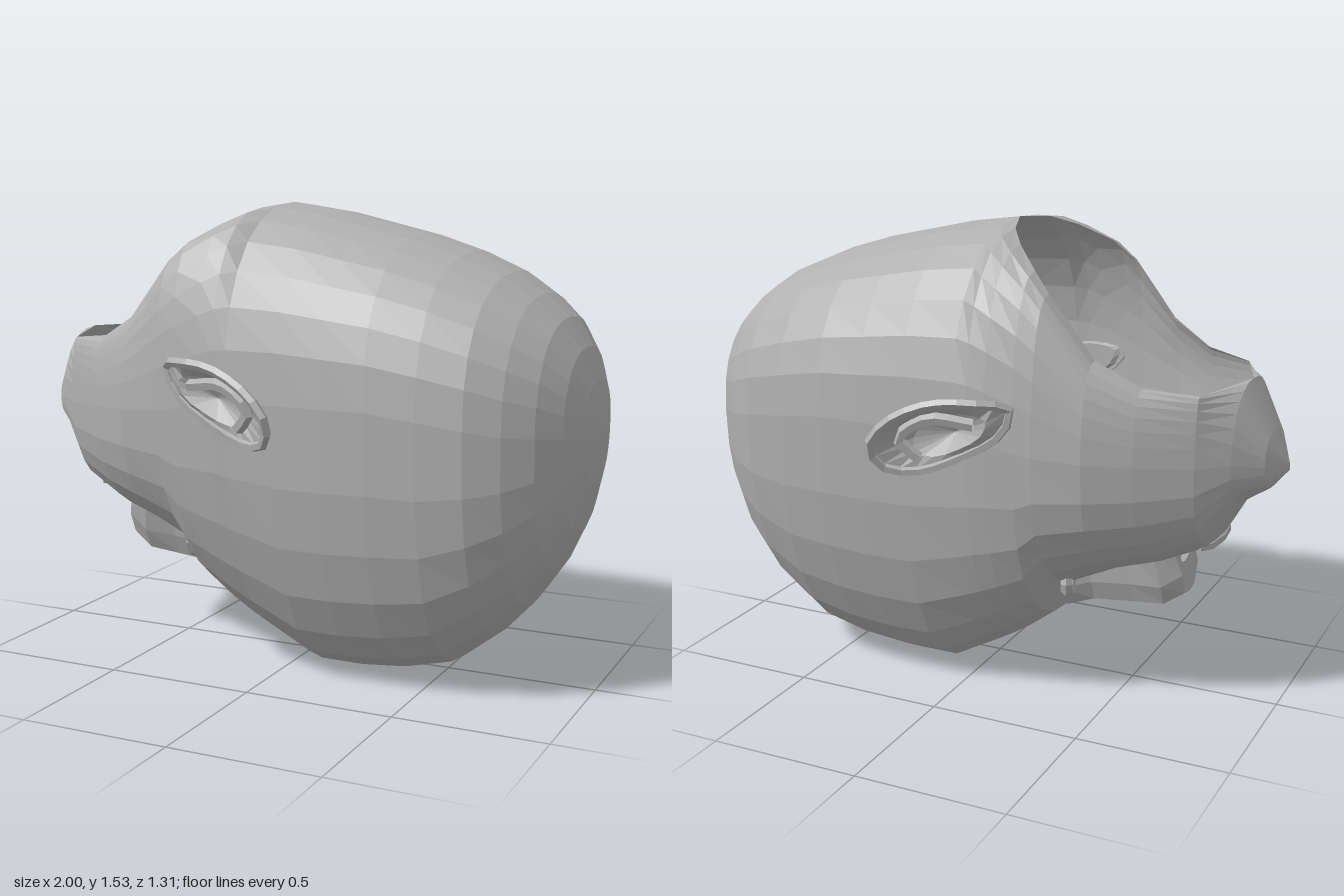
import * as THREE from 'three';

const skin = new THREE.MeshStandardMaterial({ color: 0xb0b0b0, flatShading: true, side: THREE.DoubleSide });
skin.name = 'grey skin';

// Skins a list of equally long point rows
function loft(rows) {
  const n = rows[0].length, index = [];
  for (let i = 0; i < rows.length - 1; i++) {
    for (let j = 0; j < n - 1; j++) {
      const a = i * n + j, b = a + n;
      index.push(a, a + 1, b, a + 1, b + 1, b);
    }
  }
  const g = new THREE.BufferGeometry();
  g.setAttribute('position', new THREE.Float32BufferAttribute(rows.flat(2), 3));
  g.setIndex(index);
  g.computeVertexNormals();
  return g;
}

function add(parent, name, geometry) {
  const m = new THREE.Mesh(geometry, skin);
  m.name = name;
  parent.add(m);
  return m;
}

// Sections along x: x, bottom y, widest y, top y, half width, half width of the neck opening
const sections = [
  [-1.0, 0.81, 0.82, 0.83, 0, 0],
  [-0.95, 0.75, 0.84, 0.94, 0.11, 0],
  [-0.87, 0.70, 0.86, 1.09, 0.20, 0],
  [-0.78, 0.54, 0.86, 1.08, 0.28, 0.25],
  [-0.62, 0.47, 0.87, 1.10, 0.38, 0.31],
  [-0.48, 0.43, 0.88, 1.18, 0.45, 0.345],
  [-0.33, 0.36, 0.89, 1.37, 0.48, 0.35],
  [-0.27, 0.24, 0.90, 1.43, 0.485, 0.32],
  [-0.18, 0.17, 0.92, 1.49, 0.495, 0.23],
  [-0.12, 0.13, 0.93, 1.525, 0.50, 0.14],
  [-0.07, 0.10, 0.93, 1.54, 0.50, 0],
  [0.10, 0.005, 0.94, 1.515, 0.505, 0],
  [0.25, 0.005, 0.94, 1.48, 0.51, 0],
  [0.40, 0.02, 0.94, 1.445, 0.51, 0],
  [0.56, 0.06, 0.92, 1.395, 0.495, 0],
  [0.70, 0.17, 0.90, 1.335, 0.47, 0],
  [0.80, 0.28, 0.88, 1.27, 0.415, 0],
  [0.88, 0.40, 0.87, 1.20, 0.34, 0],
  [0.94, 0.53, 0.86, 1.11, 0.25, 0],
  [0.98, 0.68, 0.86, 1.01, 0.15, 0],
  [1.0, 0.84, 0.85, 0.86, 0, 0],
];

// Ring from one side of the opening, round the bottom, to the other side
function ring([x, bottom, mid, top, half, open]) {
  const side = [], steps = 7, p = 0.85;
  for (let i = 0; i <= steps; i++) {
    const t = (i / steps) * Math.PI / 2;
    side.push([x, mid - (mid - bottom) * Math.max(0, Math.cos(t)) ** p, half * Math.sin(t) ** p]);
  }
  for (let i = 1; i <= steps; i++) {
    const t = (i / steps) * Math.PI / 2;
    const c = Math.max(0, Math.cos(t)) ** p;
    side.push([x, mid + (top - mid) * Math.sin(t) ** p, open + (half - open) * c]);
  }
  const other = side.slice(1).reverse().map(([a, b, c]) => [a, b, -c]);
  return [...other, ...side];
}

// One ear: outer back, rolled rim, hollow bowl and inner fold
function makeEar() {
  const ear = new THREE.Group();
  const rim = [
    [-0.27, 1.04, 0.50], [-0.19, 1.065, 0.575], [-0.05, 1.055, 0.61], [0.08, 0.99, 0.635],
    [0.14, 0.91, 0.635], [0.12, 0.84, 0.60], [0.03, 0.82, 0.55], [-0.12, 0.88, 0.525], [-0.24, 0.96, 0.50],
  ];
  const curve = new THREE.CatmullRomCurve3(rim.map(p => new THREE.Vector3(...p)), true);
  const edge = curve.getPoints(18).map(p => p.toArray());
  const shrink = (k, z) => edge.map(([x, y]) => [-0.09 + (x + 0.07) * k, 0.95 + (y - 0.95) * k, z]);
  add(ear, 'earBack', loft([shrink(0.65, 0.48), edge]));
  add(ear, 'earBowl', loft([edge, shrink(0.6, 0.54), shrink(0.02, 0.50)]));
  add(ear, 'earRim', new THREE.TubeGeometry(curve, 20, 0.016, 5, true));
  const fold = new THREE.CatmullRomCurve3([
    new THREE.Vector3(-0.17, 0.99, 0.54), new THREE.Vector3(-0.03, 1.0, 0.575),
    new THREE.Vector3(0.06, 0.93, 0.59), new THREE.Vector3(0.01, 0.87, 0.56),
  ]);
  add(ear, 'earFold', new THREE.TubeGeometry(fold, 9, 0.02, 5));
  return ear;
}

export function createModel() {
  const head = new THREE.Group();
  head.name = 'head';

  // Hollow shell with an open neck
  add(head, 'headShell', loft(sections.map(ring)));

  // Flat floor inside the shell
  add(head, 'innerFloor', loft([
    [[-0.78, 0.62, 0.20], [-0.78, 0.62, -0.20]],
    [[-0.48, 0.62, 0.38], [-0.48, 0.62, -0.38]],
    [[-0.05, 0.62, 0.44], [-0.05, 0.62, -0.44]],
  ]));

  // Nose: bridge widening to a blunt tip
  const noseRows = [[-0.28, 0.24, 0.10], [-0.37, 0.27, 0.07], [-0.51, 0.285, 0.07],
    [-0.62, 0.30, 0.09], [-0.69, 0.35, 0.075], [-0.67, 0.45, 0.06]];
  add(head, 'nose', loft(noseRows.map(([x, y, w]) => [
    [x + 0.02, 0.50, w * 1.3], [x, y + 0.08, w], [x, y + 0.01, w * 0.6], [x, y, 0],
    [x, y + 0.01, -w * 0.6], [x, y + 0.08, -w], [x + 0.02, 0.50, -w * 1.3],
  ])));

  // Lips
  for (const [name, x, y] of [['upperLip', -0.765, 0.555], ['lowerLip', -0.775, 0.61]]) {
    const lip = add(head, name, new THREE.SphereGeometry(1, 8, 5));
    lip.scale.set(0.04, 0.03, 0.14);
    lip.position.set(x, y, 0);
  }

  // Ears and eyelids on both sides
  for (const s of [1, -1]) {
    const ear = makeEar();
    ear.name = s > 0 ? 'leftEar' : 'rightEar';
    ear.scale.z = s;
    head.add(ear);
    const lid = add(head, s > 0 ? 'leftEyelid' : 'rightEyelid', new THREE.TorusGeometry(0.05, 0.02, 5, 10));
    lid.position.set(-0.33, 0.40, 0.17 * s);
    lid.rotation.y = Math.PI / 2 - 0.3 * s;
    lid.scale.x = 1.3;
  }
  return head;
}
